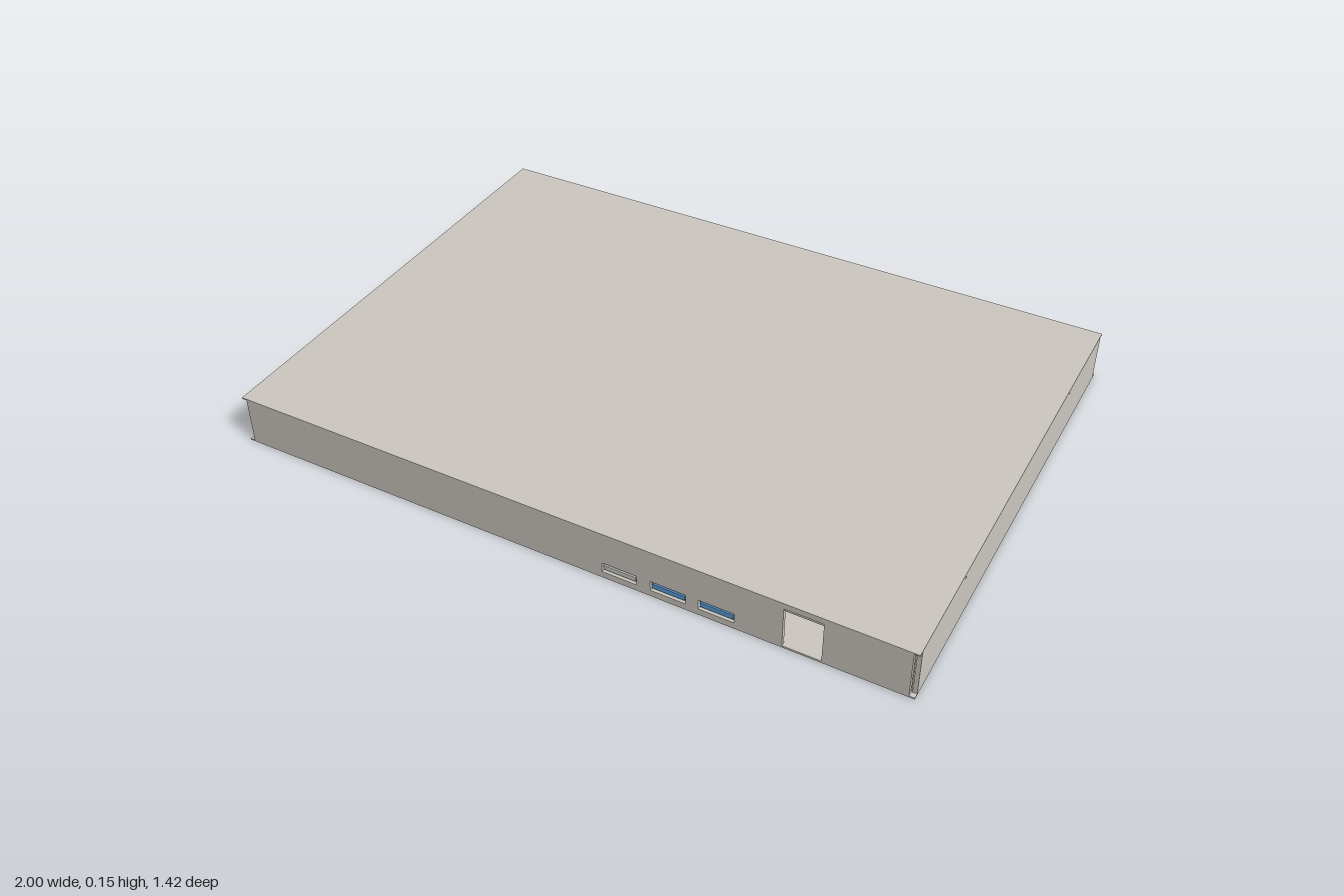
import * as THREE from 'three';

const W = 2, H = 0.15, D = 1.42, T = 0.012, GAP = 0.015;
const mat = (color) => new THREE.MeshStandardMaterial({ color });
const metal = mat(0xccc8c0), shell = mat(0xd6d6d4), blue = mat(0x5b9bd5), navy = mat(0x2f5f96);
const red = mat(0xc02a30), green = mat(0x5f7a58), dark = mat(0x333333);

function add(parent, name, geometry, material, x = 0, y = 0, z = 0) {
  const mesh = new THREE.Mesh(geometry, material);
  mesh.name = name;
  mesh.position.set(x, y, z);
  parent.add(mesh);
  return mesh;
}

const box = (parent, name, material, x, y, z, w, h, d) =>
  add(parent, name, new THREE.BoxGeometry(w, h, d), material, x, y, z);

function rect(target, x0, y0, x1, y1) {
  target.moveTo(x0, y0);
  target.lineTo(x1, y0);
  target.lineTo(x1, y1);
  target.lineTo(x0, y1);
  target.closePath();
  return target;
}

// Upright sheet with rectangular cutouts [x0, y0, x1, y1]; outer face at z = D / 2
function endPanel(name, cutouts) {
  const group = new THREE.Group();
  group.name = name;
  const shape = rect(new THREE.Shape(), -W / 2 + GAP, 0.004, W / 2 - GAP, H - 0.004);
  cutouts.forEach((c) => shape.holes.push(rect(new THREE.Path(), ...c)));
  const geo = new THREE.ExtrudeGeometry(shape, { depth: T, bevelEnabled: false });
  add(group, name + 'Sheet', geo, metal, 0, 0, D / 2 - T);
  return group;
}

export function createModel() {
  const model = new THREE.Group();
  model.name = 'rackCase';

  // Lid and pierced floor
  box(model, 'lid', metal, 0, H - 0.002, 0, W, 0.004, D);
  const floor = rect(new THREE.Shape(), -W / 2, -D / 2, W / 2, D / 2);
  const screwRows = [
    [-0.655, [0.81, 0.72, 0.67, 0.555, 0.45, 0.09, -0.11, -0.645]],
    [-0.51, [0.71, 0.67, 0.58, 0.53, 0.43, -0.025, -0.105, -0.385, -0.675]],
    [-0.095, [0.385, 0.29, -0.43, -0.81]],
    [0.06, [0.385, 0.11, 0.015, -0.535]],
    [0.51, [0.5, 0.4, 0.27, 0.18, -0.16, -0.265, -0.395, -0.71]],
    [0.63, [0.525, 0.415, 0.28, 0.055, -0.26, -0.485, -0.715]],
  ];
  for (const [z, xs] of screwRows) {
    for (const x of xs) {
      floor.holes.push(new THREE.Path().absarc(x, -z, 0.007, 0, Math.PI * 2, true));
    }
  }
  const floorGeo = new THREE.ExtrudeGeometry(floor, { depth: 0.004, bevelEnabled: false, curveSegments: 6 });
  add(model, 'floor', floorGeo, metal).rotation.x = -Math.PI / 2;

  // Side walls, stopping short of the corners, with small rivets
  for (const s of [-1, 1]) {
    const side = s > 0 ? 'left' : 'right';
    box(model, side + 'Wall', metal, s * (W / 2 - T / 2), H / 2, 0, T, H - 0.008, D - 2 * GAP);
    for (const z of [-0.41, 0.41]) {
      add(model, side + 'Rivet', new THREE.CylinderGeometry(0.004, 0.004, 0.002, 10), red, s * W / 2 - s * 0.0008, 0.137, z)
        .rotation.z = Math.PI / 2;
    }
  }
  // Inner posts closing the corner notches
  for (const sx of [-1, 1]) for (const sz of [-1, 1]) {
    box(model, 'cornerPost', metal, sx * (W / 2 - GAP - 0.004), H / 2, sz * (D / 2 - GAP - 0.004), 0.008, H - 0.008, 0.008);
  }

  // Front panel with three ports and a tall cutout
  const ports = [[0.15, shell, shell], [0.29, navy, blue], [0.425, navy, blue]];
  const front = endPanel('frontPanel', [
    ...ports.map(([x]) => [x, 0.02, x + 0.1, 0.05]),
    [0.655, 0.006, 0.76, 0.132],
  ]);
  for (const [x, back, tongue] of ports) {
    box(front, 'portBody', back, x + 0.05, 0.035, D / 2 - 0.035, 0.104, 0.034, 0.05);
    box(front, 'portTongue', tongue, x + 0.05, 0.035, D / 2 - 0.008, 0.092, 0.014, 0.012);
  }
  box(front, 'cutoutLip', metal, 0.7075, 0.126, D / 2 - 0.012, 0.105, 0.012, 0.012);
  model.add(front);

  // Back panel with connectors and a tall cutout
  const slots = [[-0.108, 0.072, 0.016], [-0.4, 0.09, 0.016], [-0.67, 0.096, 0.024]];
  const back = endPanel('backPanel', [
    [0.71, 0.006, 0.82, 0.132],
    [-0.116, 0.015, -0.012, 0.058],
    ...slots.map(([x, w, h]) => [-x - w, 0.04 - h / 2, -x, 0.04 + h / 2]),
  ]);
  box(back, 'largeConnector', red, -0.064, 0.0365, D / 2 - 0.014, 0.104, 0.043, 0.024);
  for (const [x, w, h] of slots) {
    box(back, 'slotConnector', red, -x - w / 2, 0.04, D / 2 - 0.012, w, h, 0.018);
    box(back, 'slotInsert', shell, -x - w / 2, 0.04, D / 2 - 0.0025, w - 0.012, h - 0.007, 0.003);
  }
  back.rotation.y = Math.PI;
  model.add(back);

  // Circuit board and components inside
  box(model, 'circuitBoard', green, 0.79, 0.028, 0.0, 0.18, 0.008, 0.5);
  box(model, 'daughterBoard', green, 0.79, 0.062, 0.0, 0.17, 0.035, 0.4);
  for (const x of [0.66, 0.698]) box(model, 'standoff', dark, x, 0.03, 0.1, 0.014, 0.05, 0.02);

  return model;
}
